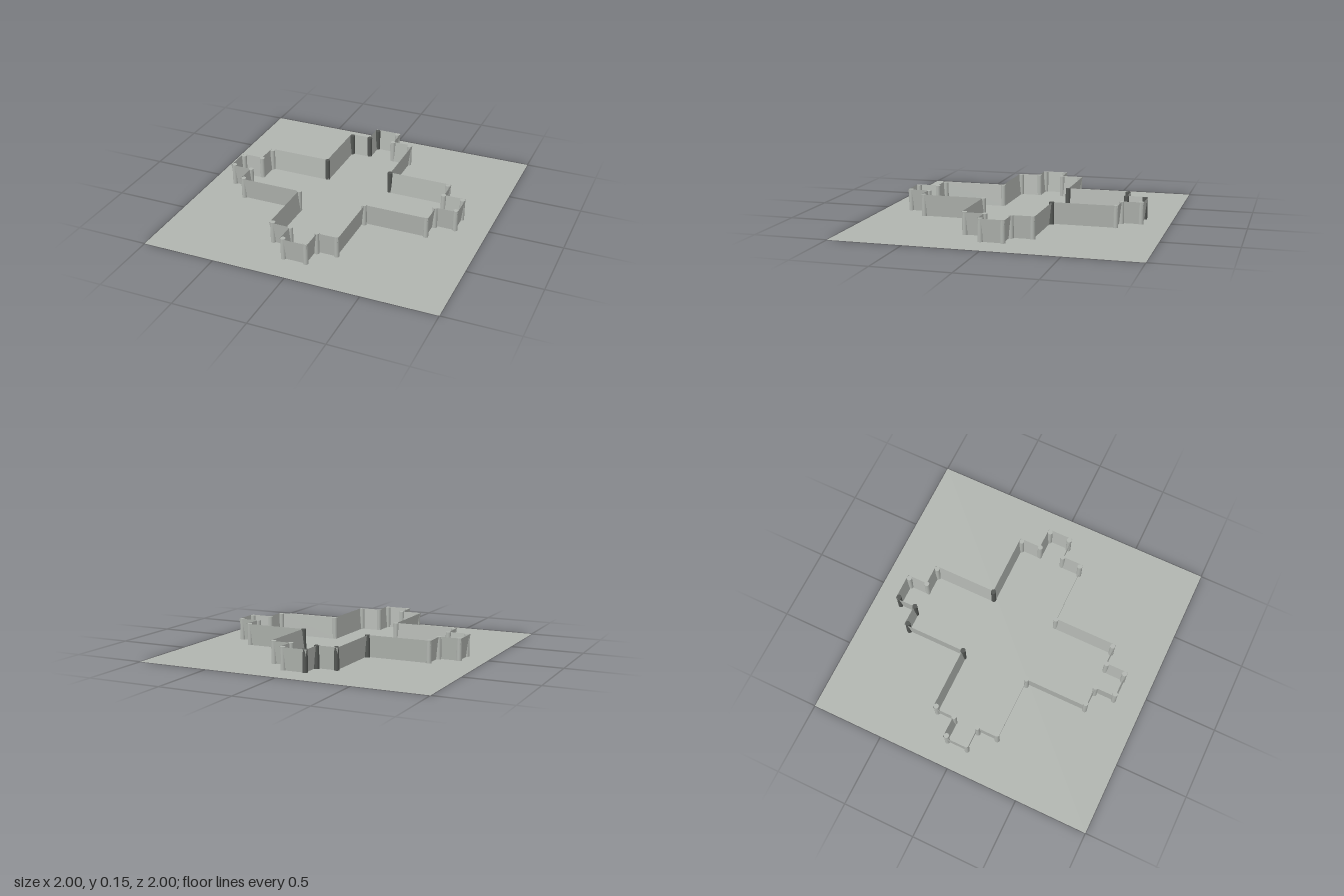
import * as THREE from 'three';

const HEIGHT = 0.15;
const LEAN = 0.017; // how far the wall tops lean outward
const POST_R = 0.017;

// Distances of the wall base lines from the centre, innermost to outermost
const LEVELS = {
  xPos: [0.055, 0.2, 0.64, 0.79],
  xNeg: [0.1, 0.245, 0.685, 0.835],
  zPos: [0.065, 0.215, 0.655, 0.805],
  zNeg: [0.08, 0.23, 0.67, 0.812],
};

// One quarter of the stepped cross as level indices [x, z]; odd entries are inward corners
const QUARTER = [[0, 3], [0, 2], [1, 2], [1, 1], [2, 1], [2, 0], [3, 0]];

// Full outline, mirrored into the four quarters
function outline() {
  const corners = [];
  for (const [sx, sz] of [[1, 1], [1, -1], [-1, -1], [-1, 1]]) {
    const xs = sx > 0 ? LEVELS.xPos : LEVELS.xNeg;
    const zs = sz > 0 ? LEVELS.zPos : LEVELS.zNeg;
    const quarter = QUARTER.map(([i, j], k) => ({
      x: sx * xs[i], z: sz * zs[j], sx, sz, inward: k % 2 === 1, k,
    }));
    corners.push(...(sx * sz > 0 ? quarter : quarter.reverse()));
  }
  return corners;
}

// Single leaning sheet between two neighbouring corners
function wallGeometry(a, b) {
  const top = (c) => [c.x + c.sx * LEAN, HEIGHT, c.z + c.sz * LEAN];
  const geometry = new THREE.BufferGeometry();
  geometry.setAttribute('position', new THREE.Float32BufferAttribute(
    [a.x, 0, a.z, b.x, 0, b.z, ...top(b), ...top(a)], 3));
  geometry.setIndex([0, 1, 2, 0, 2, 3]);
  geometry.computeVertexNormals();
  return geometry;
}

export function createModel() {
  const model = new THREE.Group();
  model.name = 'walledCross';

  const stone = new THREE.MeshStandardMaterial({ color: 0xb0b4af, side: THREE.DoubleSide });
  stone.name = 'light grey';
  const dark = new THREE.MeshStandardMaterial({ color: 0x525552 });
  dark.name = 'dark grey';

  // Ground sheet
  const ground = new THREE.Mesh(new THREE.PlaneGeometry(2, 2).rotateX(-Math.PI / 2), stone);
  ground.name = 'ground';
  model.add(ground);

  const walls = new THREE.Group();
  walls.name = 'walls';
  const posts = new THREE.Group();
  posts.name = 'posts';
  model.add(walls, posts);

  const postGeometry = new THREE.CylinderGeometry(POST_R, POST_R, HEIGHT - 0.001, 20);
  const corners = outline();
  corners.forEach((c, i) => {
    // Wall to the next corner
    const wall = new THREE.Mesh(wallGeometry(c, corners[(i + 1) % corners.length]), stone);
    wall.name = 'wall';
    walls.add(wall);

    // Round post; inward corners sit a little further out
    const shift = c.inward ? LEAN * 0.8 : 0;
    const back = c.sz < 0;
    const isDark = back && ((c.sx < 0 && c.k <= 3) || (c.sx > 0 && c.k === 3));
    const post = new THREE.Mesh(postGeometry, isDark ? dark : stone);
    post.name = isDark ? 'darkPost' : 'post';
    post.position.set(c.x + c.sx * shift, (HEIGHT + 0.001) / 2, c.z + c.sz * shift);
    posts.add(post);
  });

  return model;
}
